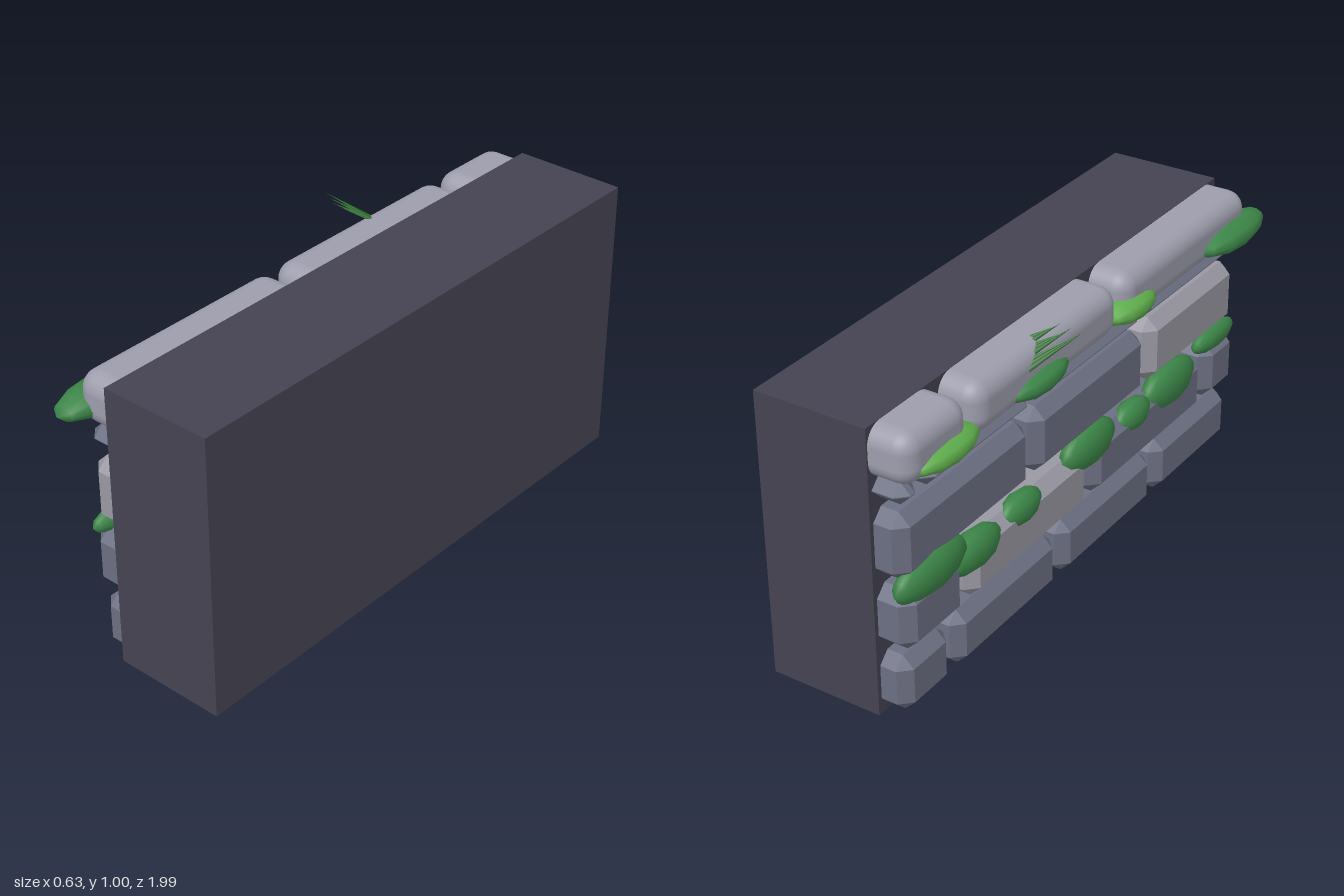
import * as THREE from 'three';
import { RoundedBoxGeometry } from 'three/addons/geometries/RoundedBoxGeometry.js';
import { ConvexGeometry } from 'three/addons/geometries/ConvexGeometry.js';

function material(name, color, flatShading = false) {
  const m = new THREE.MeshStandardMaterial({ color, flatShading });
  m.name = name;
  return m;
}

// Box with every edge and corner cut off
function chamferedBox(w, h, d, c) {
  const points = [];
  for (const x of [-1, 1]) for (const y of [-1, 1]) for (const z of [-1, 1]) {
    for (const [a, b, e] of [[0, c, c], [c, 0, c], [c, c, 0]]) {
      points.push(new THREE.Vector3(x * (w / 2 - a), y * (h / 2 - b), z * (d / 2 - e)));
    }
  }
  return new ConvexGeometry(points);
}

export function createModel() {
  const group = new THREE.Group();
  const core = material('dark mortar', 0x454351);
  const stone = material('slate stone', 0x6c6f82);
  const paleStone = material('pale stone', 0x9a98a3);
  const capStone = material('cap stone', 0x9d9dad);
  const moss = material('moss green', 0x3c8648);
  const lightMoss = material('light moss green', 0x5fad4c);
  const grass = material('grass green', 0x347a35);

  const add = (name, geometry, mat, x, y, z) => {
    const mesh = new THREE.Mesh(geometry, mat);
    mesh.name = name;
    mesh.position.set(x, y, z);
    group.add(mesh);
    return mesh;
  };

  // Solid wall behind the stones
  add('wallCore', new THREE.BoxGeometry(0.382, 0.96, 1.91), core, 0.121, 0.48, -0.035);

  // Courses of bevelled stones: bottom, top, outer x, bevel, joints, index of the pale stone
  const courses = [
    [0.015, 0.205, -0.162, 0.037, [-0.99, -0.73, -0.16, 0.415, 0.92], -1],
    [0.235, 0.437, -0.18, 0.038, [-0.99, -0.68, -0.01, 0.705, 0.925], 1],
    [0.467, 0.69, -0.167, 0.038, [-0.99, -0.315, 0.345, 0.925], 2],
    [0.72, 0.793, -0.175, 0.035, [-0.99, -0.87, -0.32, 0.3, 0.92], -1],
  ];
  for (const [y0, y1, x0, bevel, joints, pale] of courses) {
    for (let i = 0; i < joints.length - 1; i++) {
      const z0 = joints[i] + 0.015, z1 = joints[i + 1] - 0.015;
      const width = 0.03 - x0;
      add('wallStone', chamferedBox(width, y1 - y0, z1 - z0, bevel),
        i === pale ? paleStone : stone, x0 + width / 2, (y0 + y1) / 2, (z0 + z1) / 2);
    }
  }

  // Rounded cap stones
  for (const [z0, z1] of [[-0.985, -0.69], [-0.66, 0.1], [0.13, 0.91]]) {
    add('capStone', new RoundedBoxGeometry(0.255, 0.169, z1 - z0, 4, 0.06),
      capStone, -0.0775, 0.8745, (z0 + z1) / 2);
  }

  // Moss clumps: centre, then radii; poles point along z
  const clump = new THREE.SphereGeometry(1, 10, 6).rotateX(Math.PI / 2);
  const clumps = [
    [-0.195, 0.845, 0.8, 0.077, 0.047, 0.19, moss],
    [-0.18, 0.84, 0.19, 0.065, 0.042, 0.125, lightMoss],
    [-0.18, 0.838, -0.335, 0.067, 0.042, 0.15, moss],
    [-0.18, 0.835, -0.795, 0.068, 0.04, 0.15, lightMoss],
    [-0.15, 0.45, 0.8, 0.037, 0.043, 0.128, moss],
    [-0.15, 0.41, 0.5, 0.052, 0.08, 0.155, moss],
    [-0.15, 0.405, 0.27, 0.045, 0.055, 0.095, moss],
    [-0.15, 0.428, 0.005, 0.05, 0.075, 0.145, moss],
    [-0.15, 0.405, -0.375, 0.045, 0.055, 0.1, moss],
    [-0.15, 0.395, -0.62, 0.05, 0.065, 0.13, moss],
    [-0.15, 0.448, -0.83, 0.052, 0.073, 0.167, moss],
  ];
  for (const [x, y, z, rx, ry, rz, mat] of clumps) {
    add('mossClump', clump, mat, x, y, z).scale.set(rx, ry, rz);
  }

  // Tuft of thin blades leaning outwards
  const up = new THREE.Vector3(0, 1, 0);
  const blades = 8;
  for (let i = 0; i < blades; i++) {
    const t = i / (blades - 1);
    const base = new THREE.Vector3(-0.2, 0.9, -0.4).lerp(new THREE.Vector3(-0.15, 0.95, -0.32), t);
    const tip = new THREE.Vector3(-0.315, 1.005, -0.285).lerp(new THREE.Vector3(-0.215, 1.002, -0.275), t);
    tip.y -= (i % 3) * 0.012;
    const dir = tip.clone().sub(base);
    const mid = base.clone().add(tip).multiplyScalar(0.5);
    const blade = add('grassBlade', new THREE.ConeGeometry(0.008, dir.length(), 4), grass, mid.x, mid.y, mid.z);
    blade.quaternion.setFromUnitVectors(up, dir.normalize());
  }

  return group;
}
